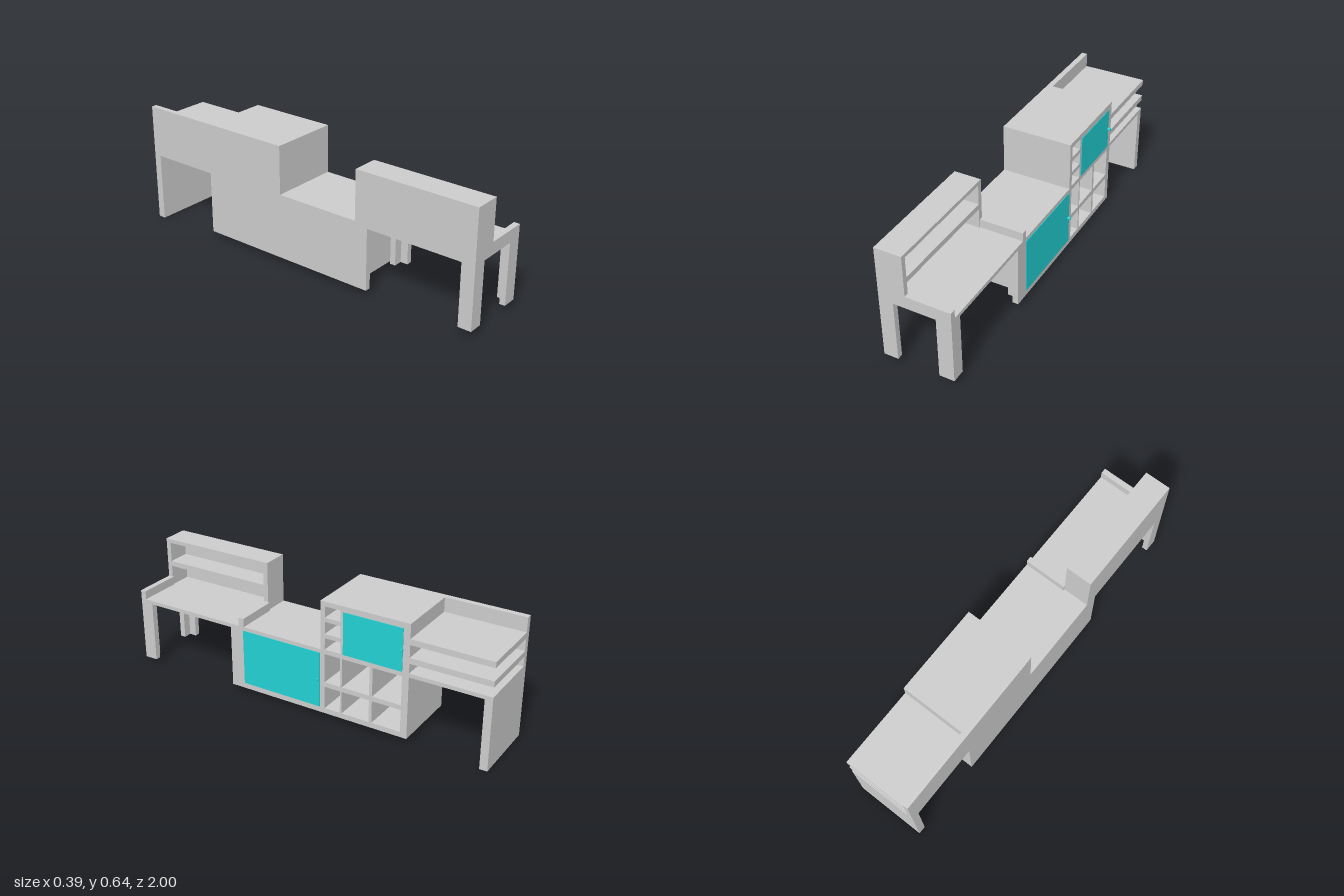
import * as THREE from 'three';

const grey = new THREE.MeshStandardMaterial({ color: 0xcccccc, flatShading: true });
const teal = new THREE.MeshStandardMaterial({ color: 0x22d0d4, flatShading: true });

export function createModel() {
  const root = new THREE.Group();

  // Box given by its limits on each axis
  const box = (name, x0, x1, y0, y1, z0, z1, mat = grey) => {
    const m = new THREE.Mesh(new THREE.BoxGeometry(x1 - x0, y1 - y0, z1 - z0), mat);
    m.position.set((x0 + x1) / 2, (y0 + y1) / 2, (z0 + z1) / 2);
    m.name = name;
    root.add(m);
    return m;
  };

  // Side outline in (z, y) with rectangular openings [z0, z1, y0, y1], extruded along x
  const casing = (name, outline, openings, x0, x1) => {
    const shape = new THREE.Shape(outline.map(([z, y]) => new THREE.Vector2(-z, y)));
    for (const [z0, z1, y0, y1] of openings) {
      shape.holes.push(new THREE.Path([[z0, y0], [z0, y1], [z1, y1], [z1, y0]]
        .map(([z, y]) => new THREE.Vector2(-z, y))));
    }
    const m = new THREE.Mesh(
      new THREE.ExtrudeGeometry(shape, { depth: x1 - x0, bevelEnabled: false }), grey);
    m.rotation.y = Math.PI / 2;
    m.position.x = x0;
    m.name = name;
    root.add(m);
  };

  const L = -0.195, R = 0.175, T = 0.02;

  // Main cabinet: low part, tower and open cubbies
  const cubbies = [];
  for (const [z0, z1] of [[-0.22, -0.134], [-0.38, -0.23], [-0.55, -0.396]]) {
    for (const [y0, y1] of [[0.063, 0.182], [0.207, 0.36]]) cubbies.push([z0, z1, y0, y1]);
  }
  for (const [y0, y1] of [[0.385, 0.445], [0.467, 0.53], [0.552, 0.61]]) {
    cubbies.push([-0.22, -0.134, y0, y1]);
  }
  const cabinetOutline = [
    [0.35, 0.05], [-0.21, 0.05], [-0.21, 0.035], [-0.585, 0.035],
    [-0.585, 0.635], [-0.11, 0.635], [-0.11, 0.38], [0.35, 0.38],
  ];
  casing('cabinetBody', cabinetOutline, cubbies, L + T, R);
  casing('cabinetBack', cabinetOutline, [], L, L + T);
  box('cabinetFrontRail', R - T, R, 0.035, 0.05, -0.21, 0.35);
  box('cabinetBackRail', L, L + T, 0.035, 0.05, -0.21, 0.35);

  // Doors with knobs
  const door = (name, z0, z1, y0, y1, knobZ, knobY) => {
    box(name, R - 0.005, R + 0.003, y0, y1, z0, z1, teal);
    const knob = new THREE.Mesh(new THREE.CylinderGeometry(0.008, 0.008, 0.018, 8), teal);
    knob.rotation.z = Math.PI / 2;
    knob.position.set(R + 0.009, knobY, knobZ);
    knob.name = name + 'Knob';
    root.add(knob);
  };
  door('lowerDoor', -0.107, 0.343, 0.065, 0.36, -0.095, 0.214);
  door('upperDoor', -0.55, -0.235, 0.385, 0.605, -0.545, 0.495);

  // Desk with raised end lips
  box('deskTop', L, R, 0.36, 0.38, 0.35, 1);
  box('deskEndLip', -0.055, R, 0.38, 0.425, 0.97, 1);
  box('deskInnerLip', -0.055, R, 0.38, 0.425, 0.34, 0.37);

  // Angle-section desk legs, one in each corner
  for (const [x, sx, w] of [[L, 1, 0.075], [R, -1, 0.078]]) {
    for (const [z, sz] of [[0.35, 1], [1, -1]]) {
      const s = new THREE.Shape([[0, 0], [w, 0], [w, 0.03], [0.03, 0.03], [0.03, 0.07], [0, 0.07]]
        .map(([a, b]) => new THREE.Vector2(x + sx * a, -(z + sz * b))));
      const leg = new THREE.Mesh(
        new THREE.ExtrudeGeometry(s, { depth: 0.325, bevelEnabled: false }), grey);
      leg.rotation.x = -Math.PI / 2;
      leg.position.y = 0.035;
      leg.name = 'deskLeg';
      root.add(leg);
    }
  }

  // Two-level hutch along the back of the desk
  const hutch = [[1, 0.36], [0.35, 0.36], [0.35, 0.64], [1, 0.64]];
  casing('hutch', hutch, [[0.375, 0.975, 0.38, 0.487], [0.375, 0.975, 0.515, 0.62]], L + T, -0.055);
  casing('hutchBack', hutch, [], L, L + T);

  // Shelf wing: back wall, three shelves and end panel
  box('wingBackWall', L, -0.165, 0.365, 0.635, -1, -0.585);
  for (const [y0, y1] of [[0.365, 0.385], [0.435, 0.465], [0.53, 0.56]]) {
    box('wingShelf', -0.165, R, y0, y1, -1, -0.585);
  }
  box('wingEndPanel', L, R, 0, 0.365, -1, -0.96);

  return root;
}
